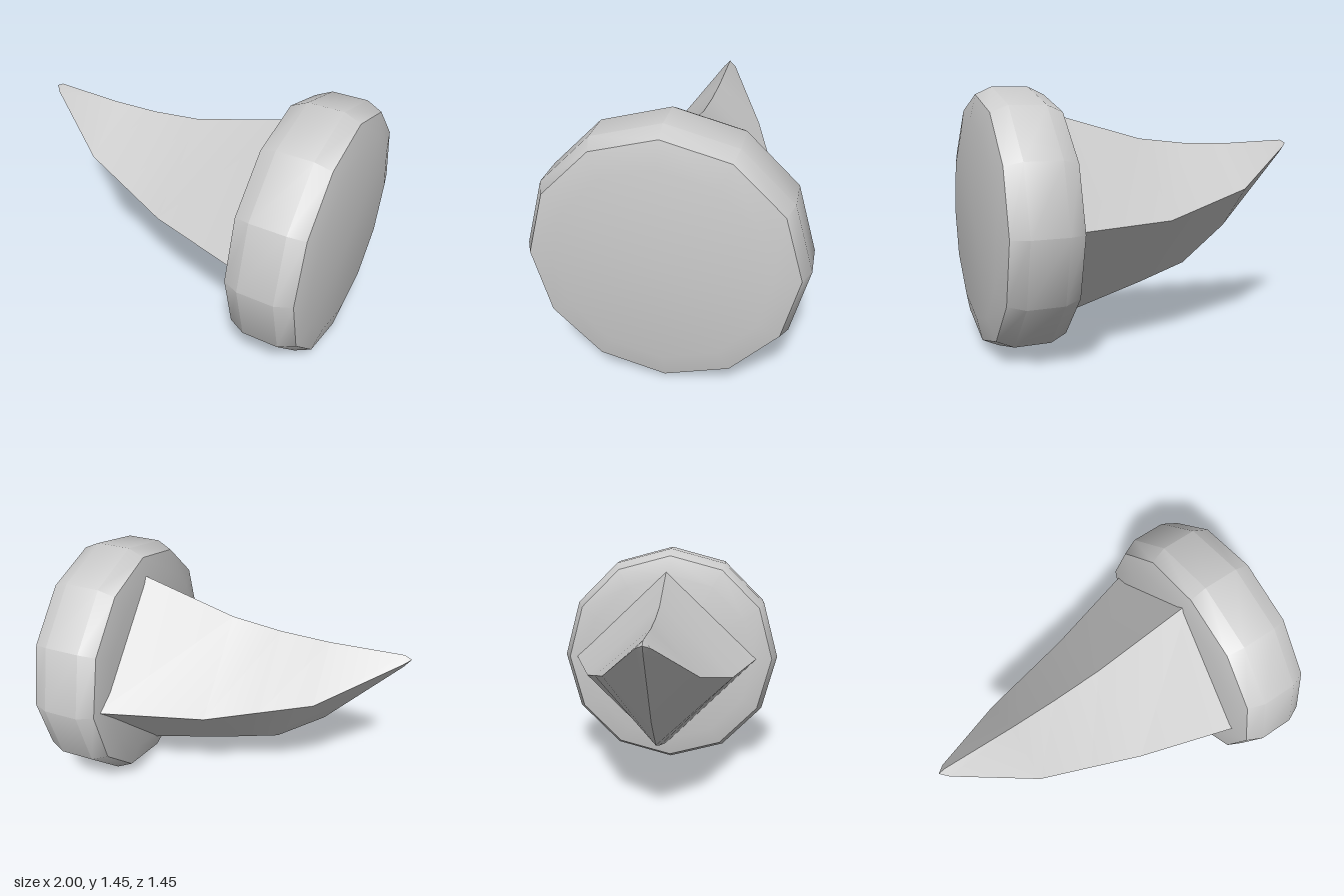
import * as THREE from 'three';
import { toCreasedNormals } from 'three/addons/utils/BufferGeometryUtils.js';

const material = new THREE.MeshStandardMaterial({ color: 0xcccccc });

// Twelve-sided bevelled disc, turned about y and then laid along x
function createBase() {
  const profile = [
    [0, 0.56], [0.56, 0.56], [0.682, 0.59], [0.724, 0.68],
    [0.724, 0.88], [0.682, 0.97], [0.55, 1], [0, 1],
  ].map(([r, x]) => new THREE.Vector2(r, x));
  const geometry = new THREE.LatheGeometry(profile, 12);
  geometry.rotateZ(-Math.PI / 2);
  geometry.translate(0, 0.724, 0);
  const mesh = new THREE.Mesh(toCreasedNormals(geometry, 0.65), material);
  mesh.name = 'base';
  return mesh;
}

// Curved spike lofted through diamond cross-sections
function createSpike() {
  // x, top y, side y, bottom y, half width
  const sections = [
    [-1, 1.105, 1.105, 1.105, 0],
    [-0.96, 1.125, 1.085, 1.05, 0.038],
    [-0.55, 1.112, 0.855, 0.6, 0.26],
    [-0.27, 1.12, 0.792, 0.385, 0.348],
    [0.02, 1.152, 0.727, 0.29, 0.44],
    [0.6, 1.313, 0.728, 0.12, 0.612],
  ];
  const z0 = -0.025;
  const positions = [];
  const index = [];
  sections.forEach(([x, top, side, bottom, half], i) => {
    positions.push(x, top, z0, x, side, z0 + half, x, bottom, z0, x, side, z0 - half);
    if (i === 0) return;
    for (let j = 0; j < 4; j++) {
      const a = (i - 1) * 4 + j;
      const b = (i - 1) * 4 + (j + 1) % 4;
      if (i > 1) index.push(a, b, a + 4);
      index.push(b, b + 4, a + 4);
    }
  });
  // Closed end, buried in the base
  const e = (sections.length - 1) * 4;
  index.push(e, e + 1, e + 2, e, e + 2, e + 3);

  const geometry = new THREE.BufferGeometry();
  geometry.setAttribute('position', new THREE.Float32BufferAttribute(positions, 3));
  geometry.setIndex(index);
  const mesh = new THREE.Mesh(toCreasedNormals(geometry, 0.65), material);
  mesh.name = 'spike';
  return mesh;
}

export function createModel() {
  const group = new THREE.Group();
  group.name = 'spikeWithBase';
  group.add(createBase(), createSpike());
  return group;
}
